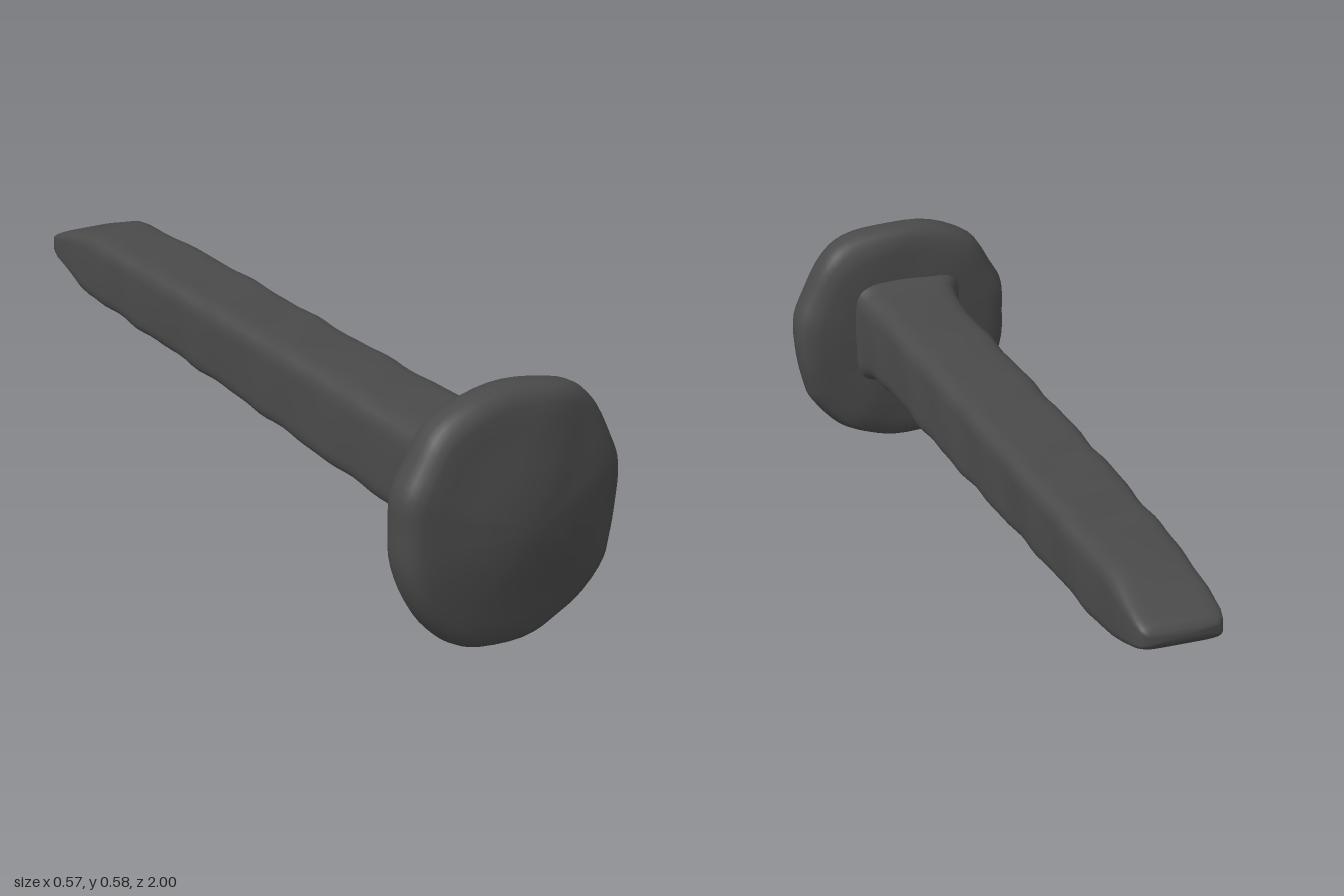
import * as THREE from 'three';

// Smooth, repeatable hammered-metal unevenness in the range -1..1
const bump = (x, y, z) =>
  (Math.sin(23 * x + 9 * z + 1.3) * Math.cos(19 * y - 13 * z) +
    0.6 * Math.sin(41 * z + 17 * y) * Math.cos(31 * x + 2.1)) / 1.6;

// Closed solid through rings of points running from +z to -z
function loft(rings, frontPoint, backPoint) {
  const n = rings[0].length;
  const points = [...rings.flat(), frontPoint, backPoint];
  const index = [];
  const front = points.length - 2, back = points.length - 1;
  const last = (rings.length - 1) * n;
  for (let j = 0; j < n; j++) {
    const k = (j + 1) % n;
    for (let i = 0; i < rings.length - 1; i++) {
      const a = i * n + j, b = i * n + k;
      index.push(a, a + n, b, b, a + n, b + n);
    }
    index.push(front, j, k, back, last + k, last + j);
  }
  const geometry = new THREE.BufferGeometry().setFromPoints(points);
  geometry.setIndex(index);
  geometry.computeVertexNormals();
  return geometry;
}

// Flattened, slightly domed head with an uneven round rim
function headGeometry() {
  const outline = [
    [0.28, 0.25], [0.283, 0.36], [0.253, 0.43], [0.205, 0.52], [0.155, 0.56],
    [0.05, 0.583], [-0.09, 0.578], [-0.2, 0.53], [-0.25, 0.455], [-0.282, 0.395],
    [-0.284, 0.32], [-0.28, 0.23], [-0.24, 0.13], [-0.175, 0.053], [-0.1, 0.015],
    [0.03, 0.003], [0.11, 0.025], [0.18, 0.06], [0.25, 0.14], [0.264, 0.18],
  ].map(([x, y]) => new THREE.Vector3(x, y, 0));
  const rim = new THREE.CatmullRomCurve3(outline, true).getPoints(72).slice(0, 72);
  const profile = [ // scale of the rim, z
    [0.15, 0.997], [0.3, 0.992], [0.45, 0.983], [0.6, 0.973], [0.75, 0.965], [0.87, 0.959],
    [0.94, 0.95], [0.985, 0.933], [1, 0.91], [0.995, 0.885], [0.97, 0.862],
    [0.92, 0.847], [0.8, 0.84], [0.6, 0.834], [0.3, 0.83],
  ];
  const rings = profile.map(([s, z]) => rim.map((p) => {
    const x = p.x * s, y = 0.292 + (p.y - 0.292) * s;
    return new THREE.Vector3(x, y, z - 0.045 * x + 0.006 * s * bump(x, y, 0.4));
  }));
  return loft(rings, new THREE.Vector3(0, 0.292, 1), new THREE.Vector3(0, 0.292, 0.83));
}

// Square shank, flared below the head and tapering to a chisel tip
function shankGeometry() {
  const stations = [ // z, half width, bottom, top
    [0.87, 0.16, 0.16, 0.475], [0.84, 0.145, 0.18, 0.46], [0.815, 0.13, 0.193, 0.447],
    [0.76, 0.122, 0.205, 0.44], [0.65, 0.118, 0.22, 0.437], [0.3, 0.115, 0.234, 0.443],
    [0, 0.112, 0.247, 0.447], [-0.4, 0.108, 0.264, 0.453], [-0.7, 0.104, 0.276, 0.452],
    [-0.79, 0.102, 0.28, 0.451], [-0.83, 0.101, 0.287, 0.446], [-0.9, 0.1, 0.311, 0.427],
    [-0.96, 0.098, 0.332, 0.408], [-0.985, 0.092, 0.343, 0.397], [-0.997, 0.08, 0.355, 0.385],
  ];
  const rings = [];
  const sides = 40, round = (v) => Math.sign(v) * Math.abs(v) ** 0.36;
  stations.forEach((s, i) => {
    const next = stations[i + 1];
    const steps = next ? Math.max(1, Math.round((s[0] - next[0]) / 0.035)) : 1;
    for (let k = 0; k < steps; k++) {
      const [z, w, low, high] = s.map((v, m) => (next ? THREE.MathUtils.lerp(v, next[m], k / steps) : v));
      const wear = 0.005 * THREE.MathUtils.smoothstep(z, -1, -0.8);
      rings.push(Array.from({ length: sides }, (_, j) => {
        const a = (j / sides) * Math.PI * 2;
        const cx = round(Math.cos(a)), cy = round(Math.sin(a));
        const x = cx * w, y = (low + high) / 2 + cy * (high - low) / 2;
        const d = wear * bump(x, y, z);
        return new THREE.Vector3(x + cx * d, y + cy * d, z);
      }));
    }
  });
  return loft(rings, new THREE.Vector3(0, 0.317, 0.87), new THREE.Vector3(0, 0.37, -1));
}

export function createModel() {
  const group = new THREE.Group();
  const iron = new THREE.MeshStandardMaterial({ color: 0x4a4a4a });
  iron.name = 'dark iron';

  const head = new THREE.Mesh(headGeometry(), iron);
  head.name = 'head';
  const shank = new THREE.Mesh(shankGeometry(), iron);
  shank.name = 'shank';
  group.add(head, shank);
  return group;
}
